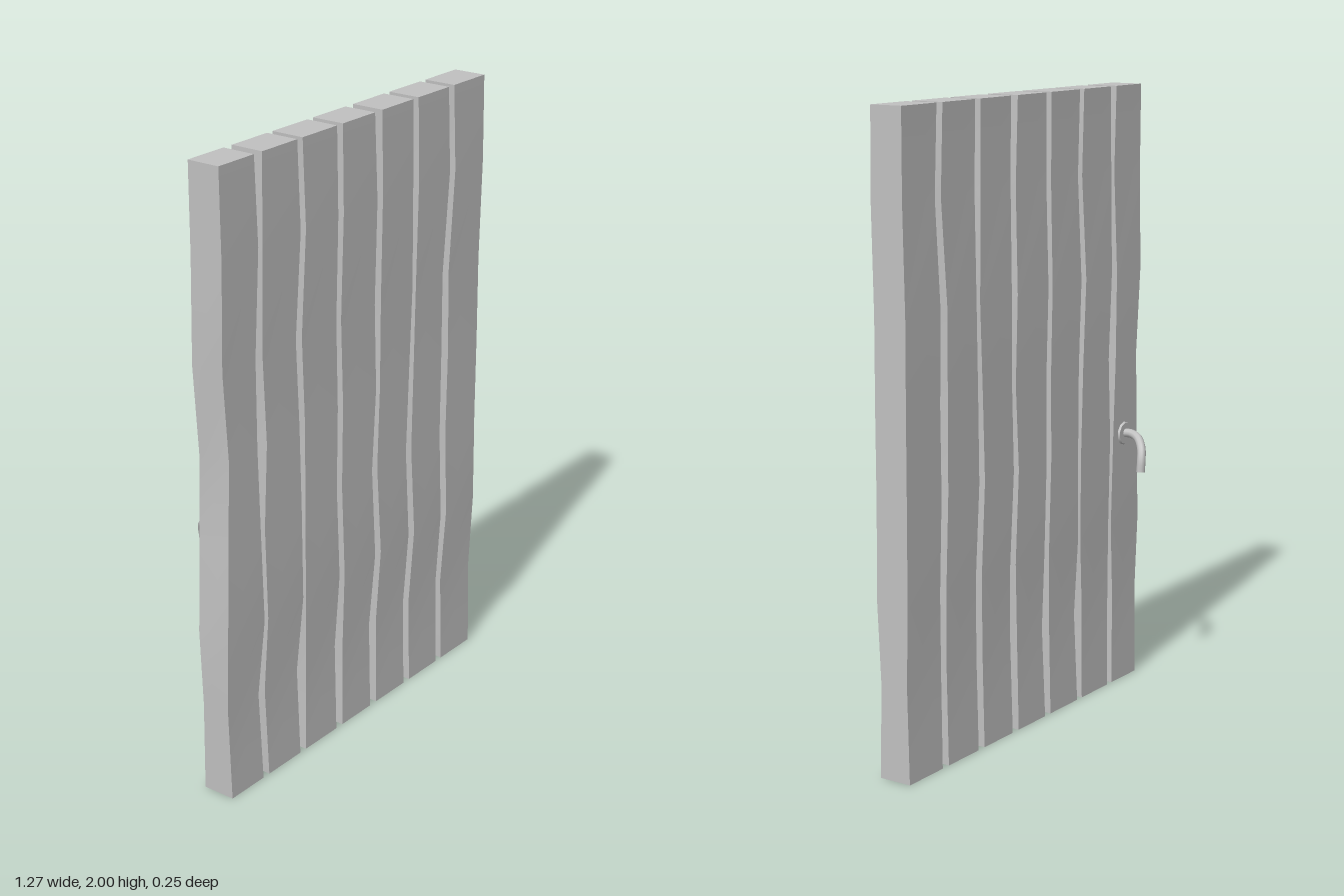
import * as THREE from 'three';

// Heights at which every plank is cut into rings
const LEVELS = [0, 0.3, 0.55, 0.85, 1.12, 1.4, 1.73, 2];

// Left and right outline of each plank at those heights
const PLANKS = [
  [[-0.628, -0.632, -0.637, -0.622, -0.612, -0.63, -0.63, -0.63], [-0.48, -0.49, -0.469, -0.476, -0.486, -0.486, -0.474, -0.482]],
  [[-0.452, -0.46, -0.452, -0.457, -0.443, -0.455, -0.456, -0.447], [-0.298, -0.304, -0.284, -0.284, -0.292, -0.304, -0.286, -0.294]],
  [[-0.27, -0.258, -0.271, -0.266, -0.266, -0.276, -0.262, -0.27], [-0.113, -0.113, -0.103, -0.112, -0.108, -0.113, -0.112, -0.113]],
  [[-0.082, -0.072, -0.077, -0.086, -0.082, -0.09, -0.086, -0.086], [0.067, 0.067, 0.082, 0.067, 0.084, 0.076, 0.077, 0.067]],
  [[0.1, 0.104, 0.112, 0.094, 0.104, 0.107, 0.104, 0.103], [0.252, 0.252, 0.262, 0.246, 0.256, 0.27, 0.257, 0.256]],
  [[0.283, 0.284, 0.293, 0.275, 0.28, 0.288, 0.287, 0.283], [0.437, 0.436, 0.442, 0.431, 0.431, 0.431, 0.45, 0.44]],
  [[0.468, 0.464, 0.473, 0.464, 0.468, 0.464, 0.479, 0.468], [0.63, 0.63, 0.63, 0.63, 0.63, 0.63, 0.63, 0.63]],
];

// Small bulge of the faces towards front and back
const FRONT_WAVE = [0, -0.007, 0.004, 0, 0, -0.002, 0.004, 0];
const BACK_WAVE = [0, 0.006, 0, -0.002, -0.003, -0.005, 0.001, 0];

// A box whose rings follow the plank outline
function plankGeometry(left, right) {
  const n = LEVELS.length - 1;
  const geo = new THREE.BoxGeometry(1, n, 1, 1, n, 1);
  const pos = geo.attributes.position;
  for (let i = 0; i < pos.count; i++) {
    const k = Math.round(pos.getY(i) + n / 2);
    const x = pos.getX(i) > 0 ? right[k] : left[k];
    const z = pos.getZ(i) > 0 ? 0.108 + FRONT_WAVE[k] : 0.0 + BACK_WAVE[k];
    pos.setXYZ(i, x, LEVELS[k], z + 0.016 * x);
  }
  geo.computeVertexNormals();
  return geo;
}

export function createModel() {
  const model = new THREE.Group();
  model.name = 'plankDoor';
  const grey = new THREE.MeshStandardMaterial({ color: 0xc0c0c0 });
  grey.name = 'grey';

  const add = (name, geometry, parent) => {
    const mesh = new THREE.Mesh(geometry, grey);
    mesh.name = name;
    parent.add(mesh);
    return mesh;
  };

  // Seven upright planks with open gaps
  const planks = new THREE.Group();
  planks.name = 'planks';
  model.add(planks);
  PLANKS.forEach(([l, r], i) => add(`plank${i + 1}`, plankGeometry(l, r), planks));

  // Curved handle on the back
  const handle = new THREE.Group();
  handle.name = 'handle';
  model.add(handle);
  const plate = add('handlePlate', new THREE.CylinderGeometry(0.036, 0.04, 0.008, 10), handle);
  plate.rotation.x = -Math.PI / 2;
  plate.position.set(-0.542, 0.855, -0.013);

  const path = new THREE.CatmullRomCurve3([
    [-0.542, 0.855, -0.005], [-0.54, 0.857, -0.04], [-0.528, 0.848, -0.073],
    [-0.507, 0.82, -0.099], [-0.493, 0.785, -0.108], [-0.487, 0.745, -0.109],
  ].map((p) => new THREE.Vector3(...p)));
  add('handleBar', new THREE.TubeGeometry(path, 16, 0.0145, 10), handle);

  // Flat end of the bar
  const end = add('handleEnd', new THREE.CircleGeometry(0.0145, 10), handle);
  end.position.copy(path.getPoint(1));
  end.lookAt(path.getPoint(1).add(path.getTangent(1)));

  return model;
}
